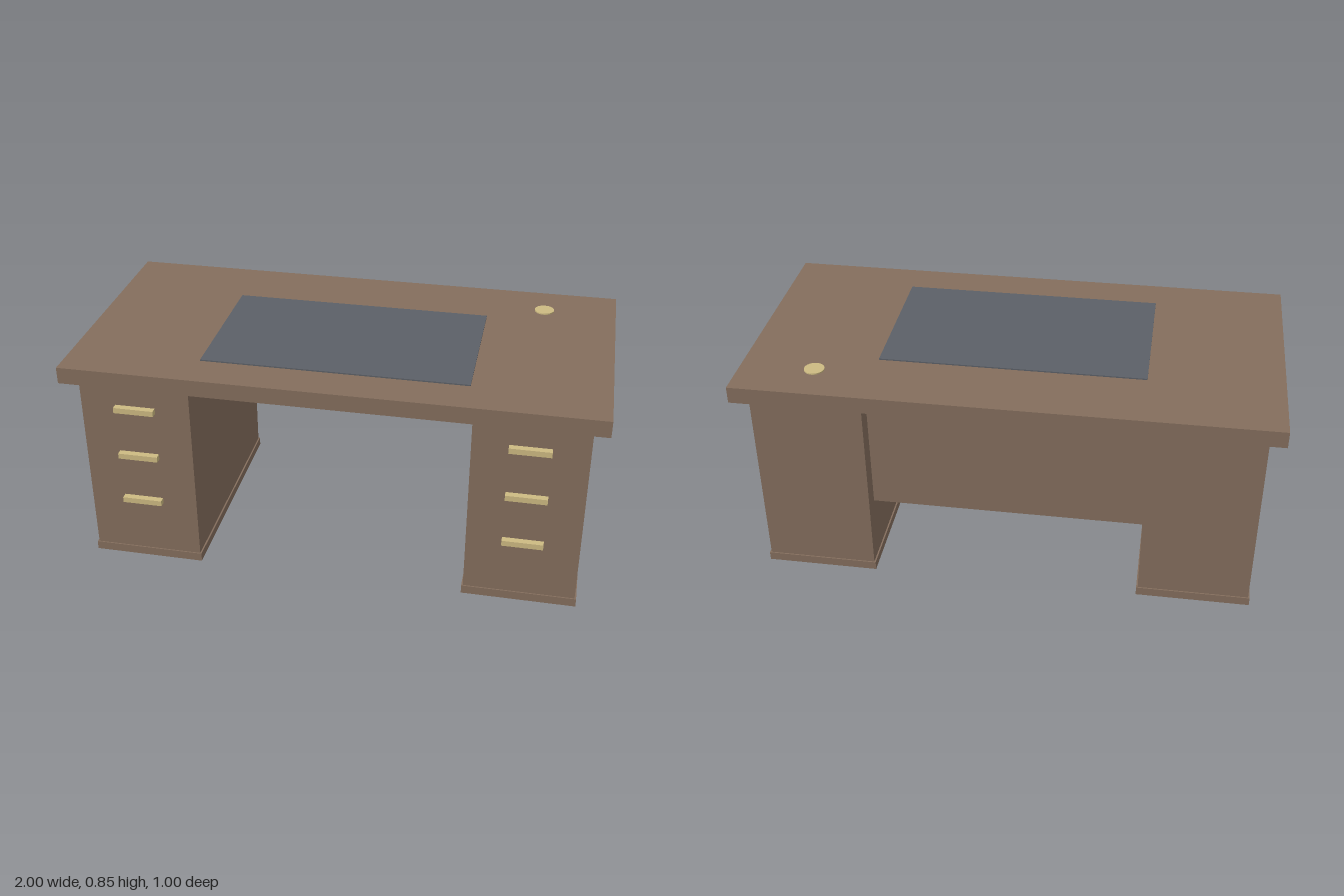
import * as THREE from 'three';

const wood = new THREE.MeshStandardMaterial({ color: 0x846e5d });
const slate = new THREE.MeshStandardMaterial({ color: 0x5c6067 });
const brass = new THREE.MeshStandardMaterial({ color: 0xcdba82 });

// Box given by its extents along each axis
function box(name, material, [x0, x1], [y0, y1], [z0, z1]) {
  const mesh = new THREE.Mesh(new THREE.BoxGeometry(x1 - x0, y1 - y0, z1 - z0), material);
  mesh.position.set((x0 + x1) / 2, (y0 + y1) / 2, (z0 + z1) / 2);
  mesh.name = name;
  return mesh;
}

// Drawer pedestal with plinth and three bar handles, centred on its own x = 0
function createPedestal(name) {
  const pedestal = new THREE.Group();
  pedestal.name = name;
  pedestal.add(
    box('plinth', wood, [-0.217, 0.217], [0, 0.034], [-0.45, 0.45]),
    box('cabinet', wood, [-0.211, 0.211], [0.034, 0.78], [-0.445, 0.445])
  );
  for (const y of [0.268, 0.468, 0.668]) {
    pedestal.add(box('drawerHandle', brass, [-0.077, 0.077], [y - 0.011, y + 0.011], [0.445, 0.47]));
  }
  return pedestal;
}

export function createModel() {
  const desk = new THREE.Group();
  desk.name = 'desk';

  // Pedestals on both sides
  for (const [name, side] of [['leftPedestal', 1], ['rightPedestal', -1]]) {
    const pedestal = createPedestal(name);
    pedestal.position.x = side * 0.733;
    desk.add(pedestal);
  }

  // Top, modesty panel between the pedestals and desk pad
  desk.add(
    box('desktop', wood, [-1, 1], [0.78, 0.844], [-0.5, 0.5]),
    box('modestyPanel', wood, [-0.522, 0.522], [0.29, 0.78], [-0.378, -0.35]),
    box('deskPad', slate, [-0.5, 0.5], [0.844, 0.849], [-0.232, 0.345])
  );

  // Round cable cover
  const cover = new THREE.Mesh(new THREE.CylinderGeometry(0.038, 0.038, 0.005, 32), brass);
  cover.position.set(0.72, 0.8465, -0.333);
  cover.name = 'cableCover';
  desk.add(cover);

  return desk;
}
